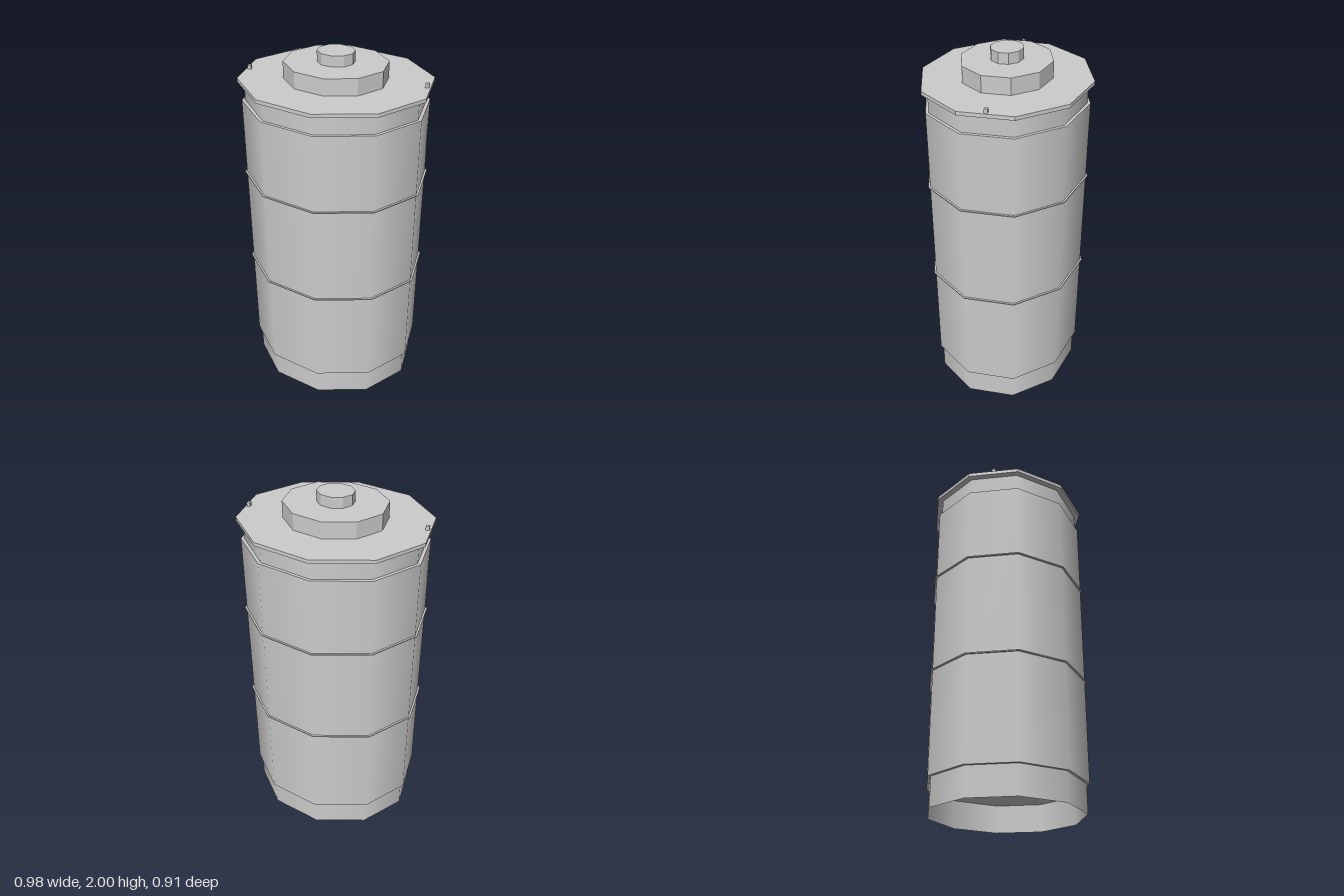
import * as THREE from 'three';

const SIDES = 10;
const DEPTH_RATIO = 0.88; // the plan is a decagon, slightly squashed front to back

export function createModel() {
  const model = new THREE.Group();
  model.name = 'canister';
  const metal = new THREE.MeshStandardMaterial({ color: 0xcccccc });
  metal.name = 'grey metal';
  const openMetal = new THREE.MeshStandardMaterial({ color: 0xcccccc, side: THREE.DoubleSide });
  openMetal.name = 'grey sheet metal';

  // Ten-sided drum between two heights, either smooth or faceted
  function drum(name, radius, y0, y1, { smooth = false, open = false } = {}) {
    let geo = new THREE.CylinderGeometry(radius, radius, y1 - y0, SIDES, 1, open);
    geo.scale(1, 1, DEPTH_RATIO);
    if (!smooth) {
      geo = geo.toNonIndexed();
      geo.computeVertexNormals();
    }
    const mesh = new THREE.Mesh(geo, open ? openMetal : metal);
    mesh.name = name;
    mesh.position.y = (y0 + y1) / 2;
    model.add(mesh);
  }

  // Main shell; its underside is the floor recessed inside the open skirt
  drum('body', 0.499, 0.157, 1.73, { smooth: true });
  drum('baseSkirt', 0.481, 0, 0.157, { smooth: true, open: true });
  drum('neck', 0.481, 1.73, 1.832, { smooth: true, open: true });

  // Thin hoops around the shell
  [0.73, 1.3].forEach((y, i) => drum('hoop' + (i + 1), 0.51, y - 0.003, y + 0.003));

  // Stepped lid
  drum('lidFlange', 0.516, 1.832, 1.852);
  drum('lidBoss', 0.275, 1.852, 1.942);
  drum('lidKnob', 0.099, 1.942, 2);

  // Small pegs at either side of the lid
  for (const side of [1, -1]) {
    const peg = new THREE.Mesh(new THREE.BoxGeometry(0.019, 0.022, 0.019), metal);
    peg.name = side > 0 ? 'leftPeg' : 'rightPeg';
    peg.position.set(side * 0.473, 1.862, 0);
    model.add(peg);
  }
  return model;
}
